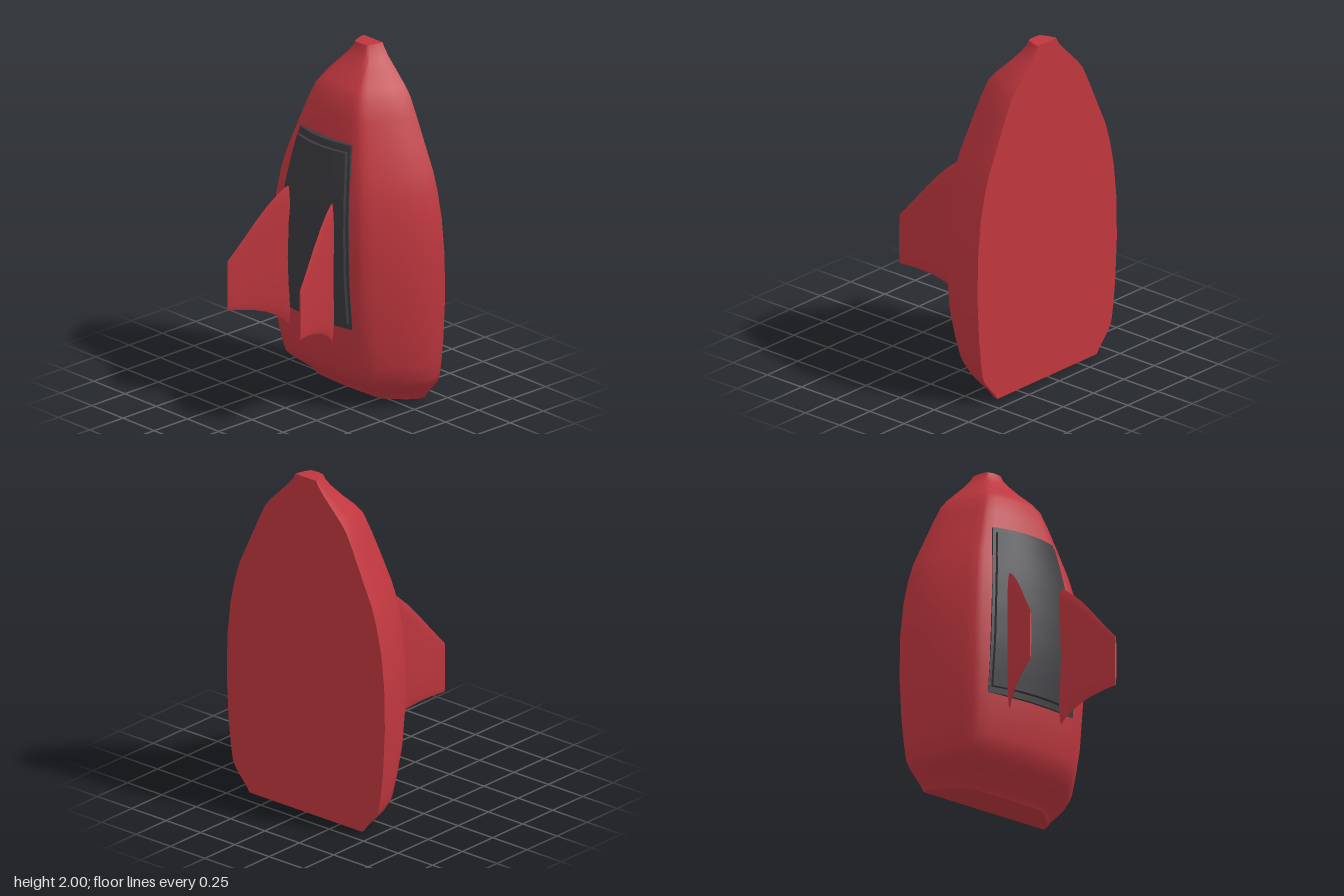
import * as THREE from 'three';
import { toCreasedNormals } from 'three/addons/utils/BufferGeometryUtils.js';

const BACK = -0.41;

// Closed solid through a series of rings, counterclockwise as seen from the last ring
function loft(rings, crease) {
  const n = rings[0].length;
  const pos = rings.flat(2);
  const index = [];
  for (let i = 0; i < rings.length - 1; i++) {
    for (let j = 0; j < n; j++) {
      const a = i * n + j, b = i * n + (j + 1) % n;
      index.push(a, b, b + n, a, b + n, a + n);
    }
  }
  [0, rings.length - 1].forEach((r, end) => {
    const c = pos.length / 3;
    for (let k = 0; k < 3; k++) pos.push(rings[r].reduce((s, p) => s + p[k], 0) / n);
    for (let j = 0; j < n; j++) {
      const a = r * n + j, b = r * n + (j + 1) % n;
      if (end) index.push(c, a, b);
      else index.push(c, b, a);
    }
  });
  const geo = new THREE.BufferGeometry();
  geo.setAttribute('position', new THREE.Float32BufferAttribute(pos, 3));
  geo.setIndex(index);
  return toCreasedNormals(geo, crease);
}

// Linear lookup in a table of [key, value, value...]
function lookup(table, key, col) {
  let i = 1;
  while (i < table.length - 1 && table[i][0] < key) i++;
  const a = table[i - 1], b = table[i];
  return THREE.MathUtils.mapLinear(key, a[0], b[0], a[col], b[col]);
}

// Shell rows: height, half width, front z
const SHELL = [
  [0, 0.41, -0.21], [0.03, 0.43, -0.19], [0.08, 0.475, -0.125], [0.12, 0.51, -0.07],
  [0.16, 0.53, -0.025], [0.25, 0.545, 0], [0.4, 0.562, 0.032], [0.65, 0.575, 0.052],
  [0.9, 0.57, 0.05], [1.1, 0.548, 0.038], [1.25, 0.515, 0.018], [1.36, 0.48, -0.006],
  [1.52, 0.405, -0.045], [1.65, 0.345, -0.08], [1.75, 0.295, -0.112], [1.8, 0.255, -0.15],
  [1.87, 0.185, -0.22], [1.93, 0.125, -0.272], [1.97, 0.092, -0.3], [2, 0.075, -0.31],
];
// Half cross-section of the shell: share of width, share of depth
const SECTION = [
  [1, 0], [0.99, 0.13], [0.955, 0.27], [0.905, 0.41], [0.84, 0.55], [0.77, 0.68],
  [0.7, 0.8], [0.64, 0.89], [0.58, 0.935], [0.45, 0.96], [0.22, 0.985],
];

function shellGeometry() {
  const profile = [
    ...SECTION.map(([u, v]) => [-u, v]), [0, 1],
    ...SECTION.slice().reverse(),
  ];
  return loft(SHELL.map(([y, w, front]) =>
    profile.map(([u, v]) => [u * w, y, BACK + v * (front - BACK)])), 0.7);
}

// Panel rows: height, half width, front z of the raised plate at the middle
const PANEL = [
  [0.48, 0.288, 0.074], [0.65, 0.286, 0.088], [0.8, 0.28, 0.094], [1, 0.27, 0.088],
  [1.2, 0.25, 0.068], [1.35, 0.231, 0.042], [1.49, 0.208, 0.014], [1.525, 0.202, 0.005],
];

// Curved panel layer, bowed across its width
function panelGeometry(bottom, top, inset, drop) {
  const rings = [];
  for (let i = 0; i <= 14; i++) {
    const y = THREE.MathUtils.lerp(bottom, top, i / 14);
    const w = lookup(PANEL, y, 1) - inset;
    const z = lookup(PANEL, y, 2) - drop;
    const ring = [];
    for (let k = -4; k <= 4; k++) ring.push([w * k / 4, y, z - 0.034 * (k / 4) ** 2]);
    ring.push([w, y, z - 0.064], [-w, y, z - 0.064]);
    rings.push(ring);
  }
  return loft(rings, 0.5);
}

// Fin rows: z, trailing (lower) y, leading (upper) y
const FIN = [
  [0.063, 0.39, 1.212], [0.09, 0.425, 1.198], [0.13, 0.455, 1.165], [0.19, 0.487, 1.105],
  [0.26, 0.51, 1.02], [0.34, 0.526, 0.915], [0.412, 0.533, 0.825],
];

// Splayed fin with a lens-shaped cross-section
function finGeometry(side) {
  const N = 10;
  return loft(FIN.map(([z, low, high]) => {
    const s = (z - 0.063) / 0.349;
    const x = side * THREE.MathUtils.lerp(0.175, 0.29, s);
    const half = THREE.MathUtils.lerp(0.02, 0.005, s);
    const ring = [];
    for (let k = 0; k < 2 * N; k++) {
      const a = k / N * Math.PI;
      ring.push([x + half * Math.sin(a), (low + high) / 2 - (high - low) / 2 * Math.cos(a), z]);
    }
    return ring;
  }), 0.7);
}

export function createModel() {
  const red = new THREE.MeshStandardMaterial({ color: 0xc0373f });
  red.name = 'red shell';
  const dark = new THREE.MeshStandardMaterial({ color: 0x3a3a3f });
  dark.name = 'dark grey panel';

  const model = new THREE.Group();
  model.name = 'finnedShell';
  const add = (name, geometry, material) => {
    const mesh = new THREE.Mesh(geometry, material);
    mesh.name = name;
    model.add(mesh);
  };

  add('shell', shellGeometry(), red);
  add('panelFrame', panelGeometry(0.48, 1.525, 0, 0.022), dark);
  add('panelPlate', panelGeometry(0.515, 1.488, 0.016, 0), dark);
  add('leftFin', finGeometry(1), red);
  add('rightFin', finGeometry(-1), red);
  return model;
}
